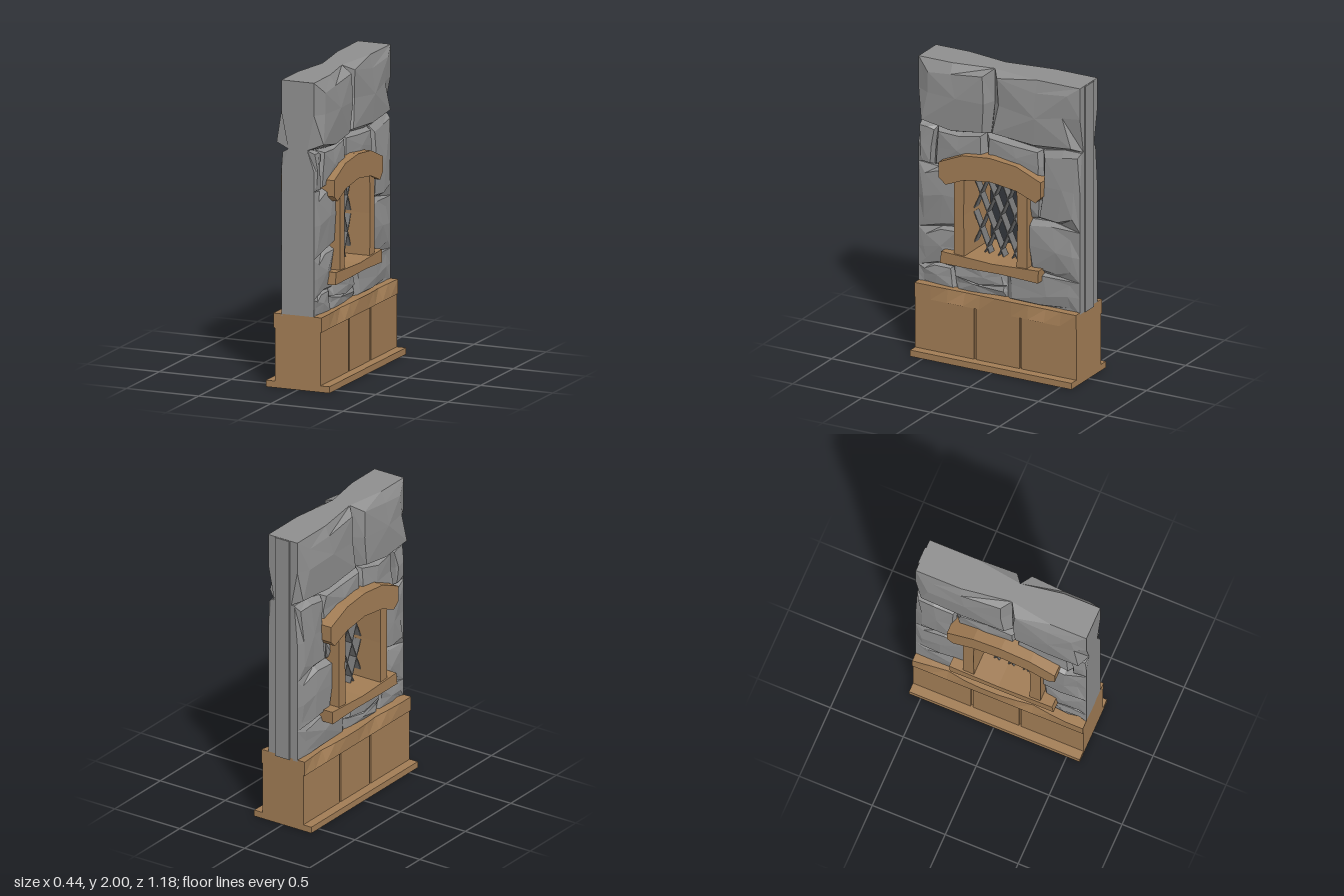
import * as THREE from 'three';

const stoneMat = new THREE.MeshStandardMaterial({ color: 0x8f8f8f, flatShading: true });
stoneMat.name = 'grey stone';
const woodMat = new THREE.MeshStandardMaterial({ color: 0xa27d55, flatShading: true });
woodMat.name = 'brown wood';
const leadMat = new THREE.MeshStandardMaterial({ color: 0x767676, flatShading: true });
leadMat.name = 'window lead';

let seed = 7;
const rand = () => (seed = (seed * 16807) % 2147483647) / 2147483647;

function add(parent, name, geometry, material) {
  const mesh = new THREE.Mesh(geometry, material);
  mesh.name = name;
  parent.add(mesh);
  return mesh;
}

// Box given by its x, y and z ranges
function box(parent, name, [x0, x1], [y0, y1], [z0, z1]) {
  const mesh = add(parent, name, new THREE.BoxGeometry(x1 - x0, y1 - y0, z1 - z0), woodMat);
  mesh.position.set((x0 + x1) / 2, (y0 + y1) / 2, (z0 + z1) / 2);
}

// Outline in (z, y) extruded from x0 to x1, with optional hole
function slab(points, x0, x1, hole) {
  const toVec = ([z, y]) => new THREE.Vector2(-z, y);
  const shape = new THREE.Shape(points.map(toVec));
  if (hole) shape.holes.push(new THREE.Path(hole.map(toVec)));
  const g = new THREE.ExtrudeGeometry(shape, { depth: x1 - x0, bevelEnabled: false });
  return g.rotateY(Math.PI / 2).translate(x0, 0, 0);
}

const rect = (z0, z1, y0, y1) => [[z0, y0], [z0, y1], [z1, y1], [z1, y0]];
const atEnd = (z) => z > 0.58 || z < -0.57;

// Uneven joint lines: neighbours share the same shift, wall ends stay straight
function wobble(z, y) {
  const dz = atEnd(z) ? 0 : 0.018 * Math.sin(9 * y + 5 * z);
  const dy = y > 1.99 || y < 0.48 ? 0 : 0.02 * Math.sin(11 * z + 4 * y + 1);
  return [z + dz, y + dy];
}

// Faceted stone: skirt from the middle, bevel to an inset ring, fan to a centre point
function stoneGeometry(z0, z1, y0, y1, depth, side) {
  const corners = rect(z0, z1, y0, y1);
  if (side < 0) corners.reverse();
  const pts = corners.flatMap(([z, y], i) => {
    const [zn, yn] = corners[(i + 1) % 4];
    return [wobble(z, y), wobble((z + zn) / 2, (y + yn) / 2)];
  });
  const cz = (z0 + z1) / 2, cy = (y0 + y1) / 2;
  const joint = y0 > 1.2 ? 0.066 : 0.088;
  const root = [], rim = [], face = [];
  for (const [z, y] of pts) {
    const open = y > 1.99 ? Math.abs(z - 0.07) > 0.05 : atEnd(z) && Math.abs(y - 1.54) > 0.06;
    const t = open ? 0.24 + 0.14 * rand() : 0.1 + 0.09 * rand();
    root.push([0, y, z]);
    rim.push([side * (open ? 0.112 : joint), y, z]);
    face.push([side * (depth - 0.02 * rand()), y + (cy - y) * t, z + (cz - z) * t]);
  }
  const centre = [side * (depth + 0.004), cy + 0.06 * (rand() - 0.5), cz + 0.08 * (rand() - 0.5)];
  const out = [];
  for (let i = 0; i < pts.length; i++) {
    const j = (i + 1) % pts.length;
    for (const [a, b] of [[root, rim], [rim, face]]) {
      out.push(...a[i], ...a[j], ...b[j], ...a[i], ...b[j], ...b[i]);
    }
    out.push(...face[i], ...face[j], ...centre);
  }
  const g = new THREE.BufferGeometry();
  g.setAttribute('position', new THREE.Float32BufferAttribute(out, 3));
  g.computeVertexNormals();
  return g;
}

// Stones: z range, y range, depth
const STONES = {
  topFrontStone: [0.07, 0.59, 1.54, 2, 0.164],
  topBackStone: [-0.58, 0.07, 1.54, 2, 0.145],
  upperFrontStone: [0.48, 0.59, 1.29, 1.54, 0.125],
  archFrontStone: [0.1, 0.48, 1.29, 1.54, 0.125],
  archBackStone: [-0.3, 0.1, 1.29, 1.54, 0.122],
  upperBackStone: [-0.58, -0.3, 1.04, 1.54, 0.135],
  windowBackStone: [-0.3, -0.2, 1.04, 1.29, 0.118],
  middleFrontStone: [0.28, 0.59, 0.87, 1.29, 0.138],
  lowerFrontStone: [0.28, 0.59, 0.6, 0.87, 0.13],
  lowerBackStone: [-0.58, -0.2, 0.69, 1.04, 0.132],
  footFrontStone: [0.33, 0.59, 0.47, 0.6, 0.118],
  footMiddleStone: [-0.03, 0.33, 0.55, 0.69, 0.13],
  footWedgeStone: [-0.03, 0.33, 0.47, 0.55, 0.115],
  footBackStone: [-0.58, -0.03, 0.47, 0.69, 0.125],
};

function buildWall() {
  const wall = new THREE.Group();
  wall.name = 'stoneWall';
  const core = slab(rect(-0.588, 0.588, 0.47, 1.998), -0.055, 0.055, rect(-0.19, 0.27, 0.69, 1.3));
  add(wall, 'wallCore', core, stoneMat);
  for (const side of [1, -1]) {
    for (const [name, size] of Object.entries(STONES)) {
      add(wall, name, stoneGeometry(...size, side), stoneMat);
    }
  }
  return wall;
}

function buildBase() {
  const base = new THREE.Group();
  base.name = 'woodenBase';
  box(base, 'plinth', [-0.22, 0.22], [0, 0.042], [-0.58, 0.59]);
  box(base, 'cabinetCore', [-0.145, 0.145], [0.04, 0.4], [-0.575, 0.585]);
  // Three panels divided by narrow seams
  for (const z of [[0.163, 0.59], [-0.168, 0.148], [-0.58, -0.183]]) {
    box(base, 'panel', [-0.158, 0.158], [0.042, 0.39], z);
  }
  // Top board with worn upper edges
  const board = new THREE.BoxGeometry(0.334, 0.095, 1.17, 2, 1, 10);
  const wear = [0, 0.015, 0.03, 0.008, 0, 0, 0.012, 0.03, 0.012, 0, 0];
  const p = board.attributes.position;
  for (let i = 0; i < p.count; i++) {
    const x = p.getX(i);
    if (p.getY(i) > 0 && Math.abs(x) > 0.1) {
      const w = wear[Math.round((p.getZ(i) / 1.17 + 0.5) * 10)];
      p.setX(i, x - Math.sign(x) * w);
      p.setY(i, p.getY(i) - w * 0.4);
    }
  }
  board.computeVertexNormals();
  add(base, 'topBoard', board, woodMat).position.set(-0.002, 0.435, 0.005);
  return base;
}

function buildWindow() {
  const win = new THREE.Group();
  win.name = 'window';
  // Arched lintel and sill, running right through the wall
  add(win, 'lintel', slab([
    [0.41, 1.335], [0.24, 1.41], [0.04, 1.43], [-0.15, 1.41], [-0.33, 1.335], [-0.33, 1.23], [-0.29, 1.19],
    [-0.15, 1.245], [0.04, 1.27], [0.23, 1.245], [0.36, 1.19], [0.41, 1.23]], -0.198, 0.172), woodMat);
  add(win, 'sill', slab([
    [0.4, 0.655], [0.39, 0.735], [0.24, 0.728], [0.02, 0.718], [-0.17, 0.728], [-0.315, 0.735],
    [-0.31, 0.65], [-0.05, 0.66], [0.2, 0.655]], -0.196, 0.175), woodMat);
  // Side posts, slightly worn on the opening side
  for (const [name, side] of [['frontPost', 1], ['backPost', -1]]) {
    const outline = [[0.265, 0.71], [0.265, 1.24], [0.19, 1.26], [0.195, 1], [0.19, 0.71]];
    add(win, name, slab(outline.map(([z, y]) => [0.04 + side * z, y]), -0.183, 0.163), woodMat);
  }

  // Diamond lattice of thin deep strips, clipped to the opening
  const lattice = new THREE.Group();
  lattice.name = 'lattice';
  win.add(lattice);
  const z0 = -0.155, z1 = 0.235, y0 = 0.715, y1 = 1.265, slope = 2.35;
  for (const dir of [1, -1]) {
    for (let k = -3; k < 7; k++) {
      const start = 0.04 + dir * (k * 0.1 - 0.22);
      const end = start + (dir * (y1 - y0)) / slope;
      const a = Math.max(z0, Math.min(start, end)), b = Math.min(z1, Math.max(start, end));
      if (b - a < 0.015) continue;
      const ya = y0 + dir * (a - start) * slope, yb = y0 + dir * (b - start) * slope;
      const bar = new THREE.BoxGeometry(0.06, Math.hypot(b - a, yb - ya), 0.006);
      const strip = add(lattice, 'latticeStrip', bar, leadMat);
      strip.position.set(0, (ya + yb) / 2, (a + b) / 2);
      strip.rotation.x = Math.atan2(b - a, yb - ya);
    }
  }
  return win;
}

export function createModel() {
  const model = new THREE.Group();
  model.name = 'windowWall';
  model.add(buildBase(), buildWall(), buildWindow());
  return model;
}
